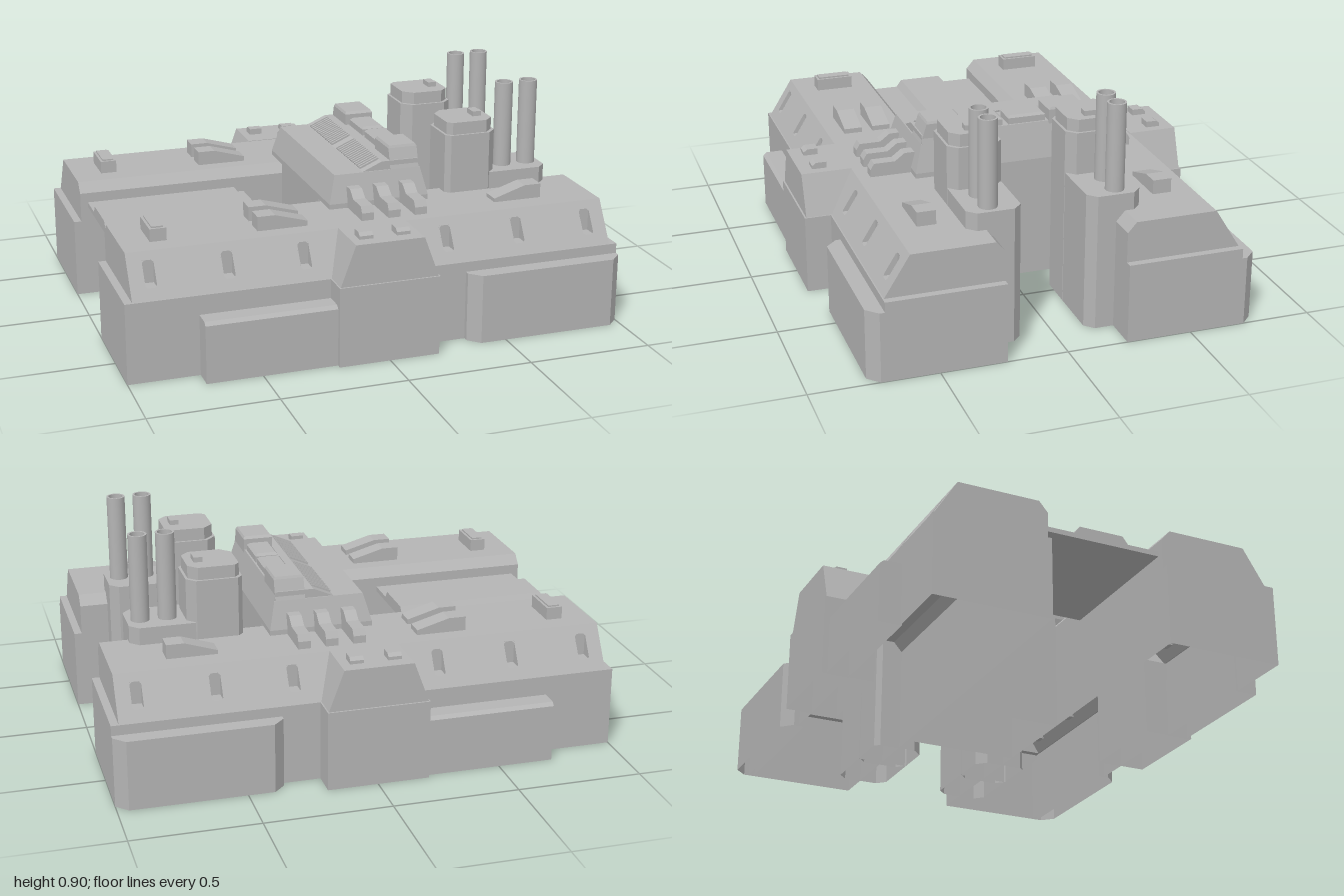
import * as THREE from 'three';

const grey = new THREE.MeshStandardMaterial({ color: 0xb4b4b4, side: THREE.DoubleSide });
grey.name = 'plain grey';

function add(parent, name, geometry) {
  const mesh = new THREE.Mesh(geometry, grey);
  mesh.name = name;
  parent.add(mesh);
  return mesh;
}

// Box given by its limits on each axis
function box(x0, x1, y0, y1, z0, z1) {
  return new THREE.BoxGeometry(x1 - x0, y1 - y0, z1 - z0)
    .translate((x0 + x1) / 2, (y0 + y1) / 2, (z0 + z1) / 2);
}

// Horizontal outlines: each is { y, pts: [[x, z], ...] }
const rect = (y, x0, x1, z0, z1) => ({ y, pts: [[x0, z1], [x1, z1], [x1, z0], [x0, z0]] });
// Rectangle with cut corners, one cut per corner in the order of rect()
function cut(y, x0, x1, z0, z1, [a, b, c, d]) {
  return { y, pts: [
    [x0, z1 - a], [x0 + a, z1], [x1 - b, z1], [x1, z1 - b],
    [x1, z0 + c], [x1 - c, z0], [x0 + d, z0], [x0, z0 + d]] };
}

// Flat-sided shell through stacked outlines, open below and capped on top
function shell(rings, skip = () => false) {
  const pos = [];
  const put = (...ps) => ps.forEach((p) => pos.push(...p));
  const at = (r, i) => {
    const [x, z] = r.pts[i % r.pts.length];
    return [x, r.y, z];
  };
  for (let k = 0; k + 1 < rings.length; k++) {
    const lo = rings[k], hi = rings[k + 1];
    for (let i = 0; i < lo.pts.length; i++) {
      if (skip(k, i)) continue;
      const a = at(lo, i), b = at(lo, i + 1), c = at(hi, i + 1), d = at(hi, i);
      put(a, b, c, a, c, d);
    }
  }
  const top = rings[rings.length - 1];
  for (let i = 1; i + 1 < top.pts.length; i++) put(at(top, 0), at(top, i), at(top, i + 1));
  const g = new THREE.BufferGeometry();
  g.setAttribute('position', new THREE.Float32BufferAttribute(pos, 3));
  g.computeVertexNormals();
  return g;
}

// Profile in (x, y) extruded from z0 to z1
function alongZ(pts, z0, z1) {
  const s = new THREE.Shape(pts.map(([x, y]) => new THREE.Vector2(x, y)));
  return new THREE.ExtrudeGeometry(s, { depth: z1 - z0, bevelEnabled: false }).translate(0, 0, z0);
}
// Profile in (z, y) extruded from x0 to x1
function alongX(pts, x0, x1) {
  return alongZ(pts, 0, x1 - x0).rotateY(-Math.PI / 2).translate(x1, 0, 0);
}

// Sloping outer panel with recessed windows
function addSlope(side) {
  const len = Math.hypot(0.1, 0.16);
  const panel = new THREE.Shape([[-0.97, 0], [0.97, 0], [0.97, len], [-0.97, len]]
    .map(([x, y]) => new THREE.Vector2(x, y)));
  const v0 = len * 0.25, v1 = len * 0.81, c = 0.01;
  for (const x of [-0.89, -0.59, -0.29, 0.29, 0.59, 0.89]) {
    const l = x - 0.023, r = x + 0.023;
    panel.holes.push(new THREE.Path([
      [l + c, v0], [l, v0 + c], [l, v1 - c], [l + c, v1], [r - c, v1], [r, v1 - c], [r, v0 + c], [r - c, v0],
    ].map(([a, b]) => new THREE.Vector2(a, b))));
    add(side, 'windowFloor', box(l, r, 0.355, 0.36, 0.619, 0.675));
    add(side, 'windowBack', box(l, r, 0.36, 0.45, 0.614, 0.619));
    for (const e of [l, r]) {
      add(side, 'windowCheek', alongX([[0.675, 0.36], [0.619, 0.36], [0.619, 0.45]], e - 0.001, e + 0.001));
    }
  }
  add(side, 'slopePanel', new THREE.ShapeGeometry(panel)
    .rotateX(-Math.atan2(0.1, 0.16)).translate(0, 0.32, 0.7));
}

// One long hull block with everything mounted on it
function buildSide() {
  const side = new THREE.Group();
  add(side, 'hull', shell([
    rect(0, -1, 1, 0.24, 0.705), rect(0.32, -1, 1, 0.24, 0.705),
    rect(0.32, -0.97, 0.97, 0.24, 0.7), rect(0.44, -0.97, 0.97, 0.24, 0.625),
    rect(0.48, -0.97, 0.97, 0.275, 0.6),
  ], (k, i) => k >= 2 && i === 0));
  addSlope(side);

  // Central buttress and side armour
  add(side, 'buttress', shell([
    rect(0, -0.205, 0.2, 0.6, 0.81), rect(0.32, -0.205, 0.2, 0.6, 0.81),
    rect(0.32, -0.2, 0.195, 0.6, 0.803), rect(0.482, -0.14, 0.135, 0.6, 0.803)]));
  add(side, 'rearArmour', shell([
    rect(0, -0.72, -0.2, 0.7, 0.79), rect(0.23, -0.72, -0.2, 0.7, 0.79),
    rect(0.243, -0.72, -0.2, 0.7, 0.775)]));
  add(side, 'frontArmour', shell([
    cut(0, 0.35, 1, 0.68, 0.77, [0.045, 0.045, 0, 0]),
    cut(0.28, 0.35, 1, 0.68, 0.77, [0.045, 0.045, 0, 0])]));
  for (const x of [-0.08, 0.07]) {
    add(side, 'buttressLug', alongX([[0.692, 0.48], [0.75, 0.48], [0.75, 0.495], [0.735, 0.507], [0.692, 0.507]],
      x - 0.027, x + 0.027));
  }

  // Deck fittings
  add(side, 'hatch', box(-0.855, -0.79, 0.48, 0.53, 0.36, 0.515));
  add(side, 'hatchLid', box(-0.845, -0.8, 0.53, 0.536, 0.37, 0.505));
  for (const z of [0.375, 0.495]) {
    add(side, 'vent', alongZ([[-0.44, 0.48], [-0.24, 0.48], [-0.24, 0.5], [-0.37, 0.537], [-0.44, 0.537]],
      z - 0.037, z + 0.037));
  }
  add(side, 'wedge', alongZ([[0.55, 0.48], [0.75, 0.48], [0.75, 0.537], [0.68, 0.537], [0.55, 0.495]], 0.435, 0.51));
  for (const x of [0, 0.11, 0.22]) {
    add(side, 'clamp', alongX([[0.37, 0.48], [0.55, 0.48], [0.55, 0.51], [0.535, 0.535],
      [0.45, 0.535], [0.41, 0.565], [0.37, 0.565]], x - 0.025, x + 0.025));
  }

  // Tower with bevelled cap
  const t = [0.02, 0.035, 0.035, 0.04];
  add(side, 'tower', shell([
    cut(0, 0.41, 0.63, 0.13, 0.345, t), cut(0.72, 0.41, 0.63, 0.13, 0.345, t),
    cut(0.72, 0.42, 0.62, 0.14, 0.335, t), cut(0.77, 0.42, 0.62, 0.14, 0.335, t)]));
  add(side, 'towerBox', box(0.553, 0.588, 0.77, 0.79, 0.21, 0.27));

  // Chimneys on their base
  const b = [0, 0.035, 0.035, 0];
  add(side, 'chimneyBase', shell([
    cut(0, 0.6, 0.857, 0.13, 0.345, b), cut(0.55, 0.6, 0.857, 0.13, 0.345, b)]));
  for (const x of [0.695, 0.802]) {
    const profile = [[0.037, 0.55], [0.037, 0.9], [0.029, 0.9], [0.029, 0.86], [0, 0.86]];
    for (let i = 0; i + 1 < profile.length; i++) {
      const seg = [profile[i], profile[i + 1]].map(([r, y]) => new THREE.Vector2(r, y));
      add(side, 'chimney', new THREE.LatheGeometry(seg, 24).translate(x, 0, 0.252));
    }
  }

  // Raised blocks on the bridge roof
  add(side, 'outerRoofBlock', shell([
    rect(0.61, 0.165, 0.285, 0.18, 0.355), rect(0.69, 0.165, 0.285, 0.18, 0.33),
    rect(0.7, 0.17, 0.28, 0.19, 0.325)]));
  add(side, 'innerRoofBlock', shell([
    rect(0.64, 0.18, 0.275, 0.012, 0.168), rect(0.67, 0.18, 0.275, 0.012, 0.168),
    rect(0.68, 0.19, 0.265, 0.022, 0.158)]));

  // Grille slats on the roof slope
  for (let i = 0; i < 15; i++) {
    add(side, 'grilleSlat', new THREE.BoxGeometry(0.085, 0.01, 0.009)
      .rotateZ(Math.atan2(0.035, 0.08)).translate(0.09, 0.63, 0.03 + i * 0.02));
  }
  return side;
}

export function createModel() {
  const model = new THREE.Group();
  model.name = 'fortress';

  for (const s of [1, -1]) {
    const side = buildSide();
    side.name = s > 0 ? 'frontHalf' : 'backHalf';
    side.scale.z = s;
    model.add(side);
  }

  // Bridge joining the halves
  add(model, 'bridgeBody', shell([rect(0, -0.1, 0.315, -0.24, 0.24), rect(0.48, -0.1, 0.315, -0.24, 0.24)]));
  add(model, 'bridgeTop', shell([
    rect(0.48, -0.1, 0.315, -0.385, 0.385), rect(0.5, -0.1, 0.315, -0.385, 0.385),
    rect(0.61, -0.07, 0.29, -0.355, 0.355)]));
  add(model, 'bridgeRoof', alongZ([[0.05, 0.61], [0.29, 0.61], [0.282, 0.645], [0.13, 0.645]], -0.35, 0.35));

  // Thin deck with a raised middle
  add(model, 'deck', alongX([[-0.24, 0.38], [0.24, 0.38], [0.24, 0.4], [0.11, 0.4], [0.088, 0.43],
    [-0.092, 0.43], [-0.115, 0.4], [-0.24, 0.4]], -0.94, -0.315));
  return model;
}
